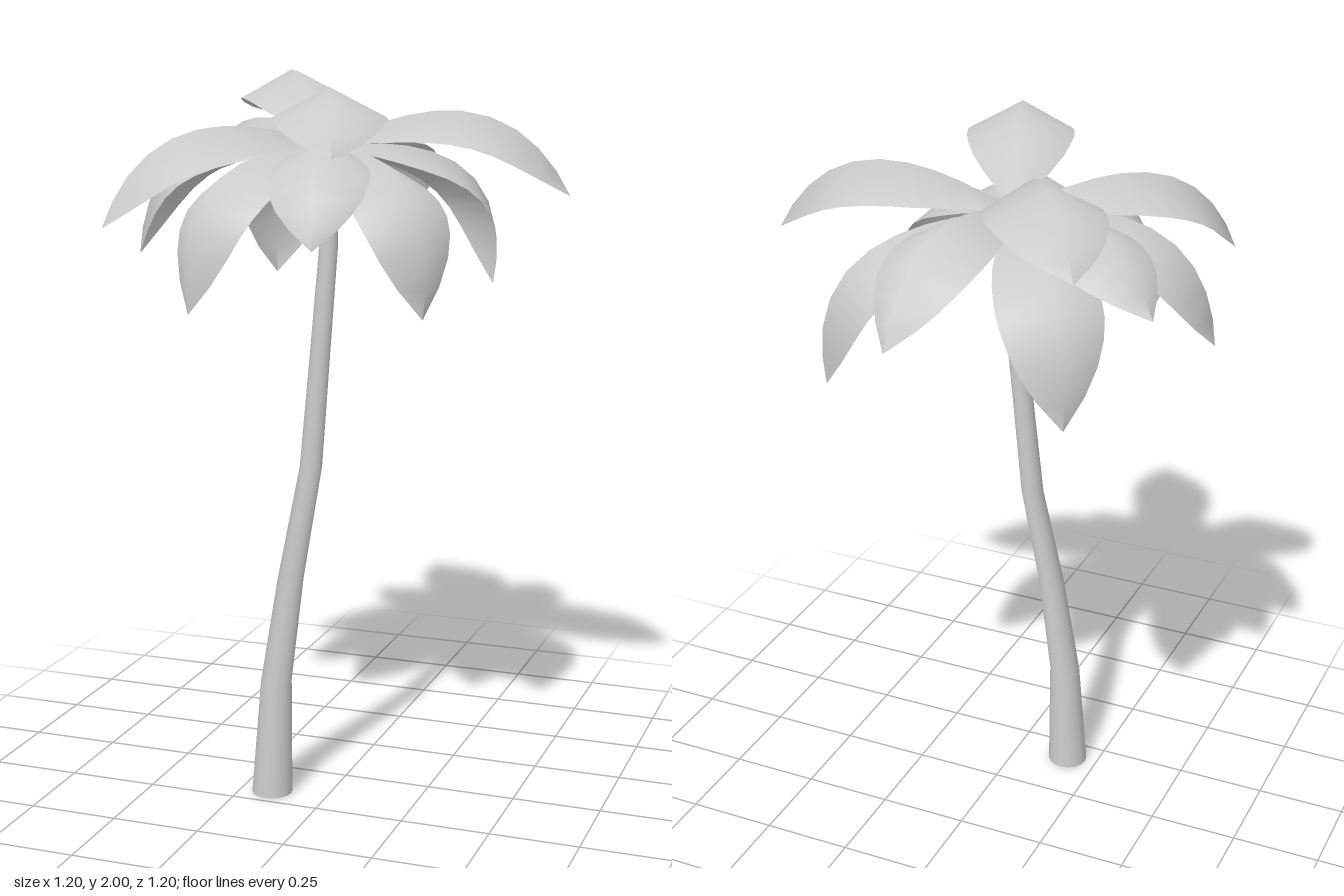
import * as THREE from 'three';

const CROWN = new THREE.Vector3(-0.06, 1.81, -0.025);

// Trunk rings: height, centre x, centre z, radius
const TRUNK = [
  [0, -0.16, 0.175, 0.057], [0.33, -0.15, 0.162, 0.043], [0.63, -0.113, 0.14, 0.036],
  [0.94, -0.07, 0.092, 0.031], [1.25, -0.062, 0.038, 0.028], [1.54, -0.057, -0.018, 0.026],
  [1.7, -0.06, -0.025, 0.023], [1.8, -0.06, -0.025, 0.016],
];

// Leaves: tip x, y, z, height of the arch control, its reach along the leaf, half width
const LEAVES = [
  // upper tier
  [-0.445, 1.86, -0.56, 2.16, 0.52, 0.17], [0.6, 1.69, -0.09, 2.06, 0.72, 0.17],
  [0.175, 1.83, 0.595, 2.15, 0.52, 0.165], [0.03, 1.62, -0.6, 1.99, 0.8, 0.15],
  [-0.515, 1.62, 0.445, 2.0, 0.78, 0.165],
  // middle tier
  [-0.55, 1.69, -0.305, 1.98, 0.72, 0.16], [-0.6, 1.5, 0.04, 1.92, 0.95, 0.16],
  [0.08, 1.59, 0.48, 1.93, 0.8, 0.15],
  // drooping tier
  [0.31, 1.4, -0.385, 1.85, 1.15, 0.155], [0.31, 1.4, 0.285, 1.84, 1.2, 0.155],
  [-0.29, 1.4, 0.41, 1.85, 1.15, 0.155], [-0.36, 1.4, -0.4, 1.85, 1.12, 0.155],
];

// Half-width of a leaf along its length, as a share of the widest point
const OUTLINE = [0.06, 0.33, 0.61, 0.82, 0.94, 1, 0.99, 0.91, 0.75, 0.46, 0];
const FOLD = 0.48; // how far each half hangs from the midrib, in radians

// Arched leaf folded along its midrib
function leafGeometry([tx, ty, tz, archY, reach, width]) {
  const tip = new THREE.Vector3(tx, ty, tz);
  const control = CROWN.clone().lerp(tip, reach).setY(archY);
  const rib = new THREE.QuadraticBezierCurve3(CROWN, control, tip);
  const side = new THREE.Vector3(tz - CROWN.z, 0, CROWN.x - tx).normalize();
  const positions = [], index = [];
  const rows = OUTLINE.length - 1;
  OUTLINE.forEach((share, i) => {
    const p = rib.getPointAt(i / rows);
    const up = rib.getTangentAt(i / rows).cross(side);
    const w = share * width;
    for (const s of [1, 0, -1]) {
      const v = p.clone().addScaledVector(side, s * w * Math.cos(FOLD));
      if (s) v.addScaledVector(up, -w * Math.sin(FOLD));
      positions.push(v.x, v.y, v.z);
    }
    if (i < rows) {
      const a = i * 3;
      index.push(a + 1, a + 4, a, a, a + 4, a + 3, a + 2, a + 5, a + 1, a + 1, a + 5, a + 4);
    }
  });
  const g = new THREE.BufferGeometry();
  g.setAttribute('position', new THREE.Float32BufferAttribute(positions, 3));
  g.setIndex(index);
  g.computeVertexNormals();
  return g;
}

// Tapered lathe, open below, whose rings are shifted to follow the leaning trunk
function trunkGeometry() {
  const g = new THREE.LatheGeometry(TRUNK.map(([y, , , r]) => new THREE.Vector2(r, y)), 16);
  const pos = g.attributes.position;
  for (let i = 0; i < pos.count; i++) {
    const [, x, z] = TRUNK[i % TRUNK.length];
    pos.setX(i, pos.getX(i) + x);
    pos.setZ(i, pos.getZ(i) + z);
  }
  return g;
}

export function createModel() {
  const tree = new THREE.Group();
  tree.name = 'palmTree';
  const material = new THREE.MeshStandardMaterial({ color: 0xcccccc, side: THREE.DoubleSide });

  const trunk = new THREE.Mesh(trunkGeometry(), material);
  trunk.name = 'trunk';
  tree.add(trunk);

  // Crown of leaves
  const crown = new THREE.Group();
  crown.name = 'crown';
  for (const leaf of LEAVES) {
    const mesh = new THREE.Mesh(leafGeometry(leaf), material);
    mesh.name = 'leaf';
    crown.add(mesh);
  }
  tree.add(crown);
  return tree;
}
